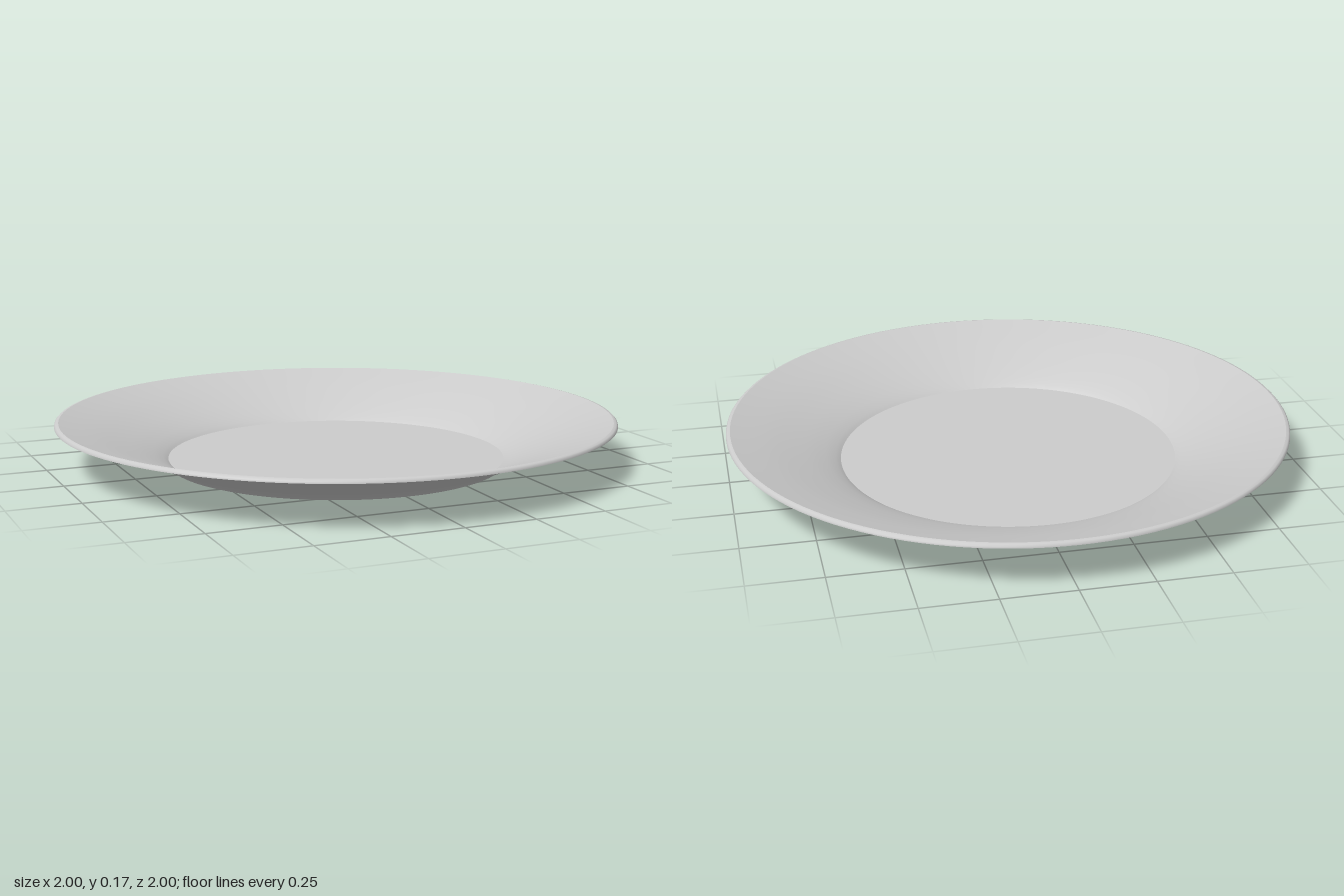
import * as THREE from 'three';

const SEGMENTS = 128;
const material = new THREE.MeshStandardMaterial({ color: 0xcccccc });

const toPoints = (pairs) => pairs.map(([r, y]) => new THREE.Vector2(r, y));
const curve = (pairs, steps) => new THREE.SplineCurve(toPoints(pairs)).getPoints(steps);

function addTurned(group, name, points) {
  const mesh = new THREE.Mesh(new THREE.LatheGeometry(points, SEGMENTS), material);
  mesh.name = name;
  group.add(mesh);
}

export function createModel() {
  const plate = new THREE.Group();
  plate.name = 'plate';

  // Flat foot, very slightly lifted at its edge
  addTurned(plate, 'foot', toPoints([[0, 0], [0.56, 0], [0.607, 0.006]]));

  // Flared underside of the wall
  addTurned(plate, 'wallUnderside', curve(
    [[0.607, 0.006], [0.625, 0.018], [0.66, 0.036], [0.73, 0.066], [0.85, 0.111], [1, 0.157]], 24));

  // Thin rim sloping in from the outer edge
  addTurned(plate, 'rim', toPoints([[1, 0.157], [0.999, 0.163], [0.994, 0.168], [0.985, 0.17]]));

  // Flared inside of the wall, running down to the floor
  addTurned(plate, 'wallInside', curve(
    [[0.985, 0.17], [0.85, 0.128], [0.73, 0.084], [0.66, 0.054], [0.622, 0.034], [0.603, 0.021]], 24));

  // Flat eating surface
  addTurned(plate, 'floor', toPoints([[0.603, 0.021], [0, 0.021]]));

  return plate;
}
